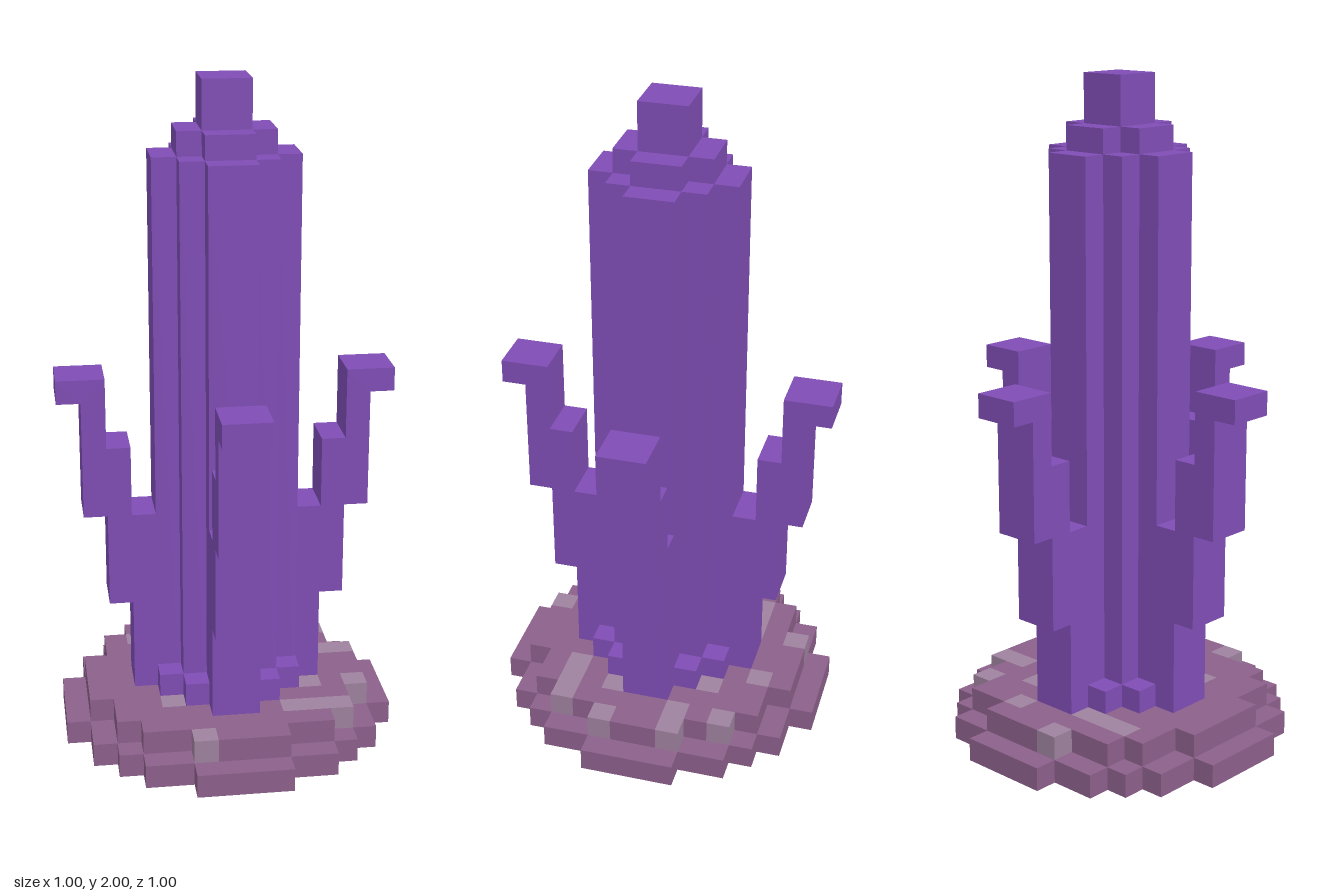
import * as THREE from 'three';

const U = 1 / 14; // one block

const crystalMat = new THREE.MeshStandardMaterial({ color: 0x7f4db5 });
crystalMat.name = 'crystal purple';
const rockMat = new THREE.MeshStandardMaterial({ color: 0x8c608b });
rockMat.name = 'mauve rock';
const paleMat = new THREE.MeshStandardMaterial({ color: 0x9e829e });
paleMat.name = 'pale rock';

// Box given by its min and max corners in blocks
function block(name, mat, x0, x1, y0, y1, z0, z1) {
  const geo = new THREE.BoxGeometry((x1 - x0) * U, (y1 - y0) * U, (z1 - z0) * U);
  const mesh = new THREE.Mesh(geo, mat);
  mesh.position.set((x0 + x1) / 2 * U, (y0 + y1) / 2 * U, (z0 + z1) / 2 * U);
  mesh.name = name;
  return mesh;
}

// Outline in blocks, extruded by a depth in blocks
function extrude(name, points, depth) {
  const shape = new THREE.Shape(points.map(([x, y]) => new THREE.Vector2(x * U, y * U)));
  const geo = new THREE.ExtrudeGeometry(shape, { depth: depth * U, bevelEnabled: false });
  const mesh = new THREE.Mesh(geo, crystalMat);
  mesh.name = name;
  return mesh;
}

// Upright prism whose quarter outline is repeated around the axis
function prism(name, quarter, y0, y1) {
  const points = [];
  for (let i = 0; i < 4; i++) {
    for (const [x, y] of quarter) points.push([[x, y], [-y, x], [-x, -y], [y, -x]][i]);
  }
  const mesh = extrude(name, points, y1 - y0);
  mesh.rotation.x = -Math.PI / 2;
  mesh.position.y = y0 * U;
  return mesh;
}

// Half widths of the round base for rows |z| = 0..6
const LAYERS = [[7, 7, 6, 6, 5, 4, 2], [6, 6, 5, 5, 4, 2]];

// Pale patches: x start, x end, z row
const PATCHES = [
  [-2, -1, -6], [1, 2, -5], [-4, -1, -4], [4, 5, -4], [2, 3, -3], [4, 6, -2],
  [3, 4, 1], [5, 6, 1], [-3, -2, 2], [2, 5, 3], [-2, -1, 5],
];

function cellMaterial(x, z) {
  const ax = Math.abs(x + 0.5), az = Math.abs(z + 0.5);
  if ((ax < 3 && az < 1) || (ax < 1 && az < 3) || (ax < 2 && az < 2)) return null; // trunk
  return PATCHES.some(([a, b, row]) => row === z && x >= a && x < b) ? paleMat : rockMat;
}

// Stepped base, each row built from runs of one colour
function createBase() {
  const base = new THREE.Group();
  base.name = 'base';
  LAYERS.forEach((widths, y) => {
    for (let z = -widths.length; z < widths.length; z++) {
      const w = widths[z < 0 ? -z - 1 : z];
      for (let x = -w; x < w;) {
        const mat = cellMaterial(x, z);
        const start = x;
        while (x < w && cellMaterial(x, z) === mat) x++;
        if (mat) base.add(block(mat === paleMat ? 'palePatch' : 'baseRow', mat, start, x, y, y + 1, z, z + 1));
      }
    }
  });
  return base;
}

export function createModel() {
  const model = new THREE.Group();
  model.name = 'crystalSpire';
  model.add(createBase());

  // Fluted trunk and stepped tip
  model.add(prism('trunk', [[3, -1], [3, 1], [2, 1], [2, 2], [1, 2], [1, 3]], 0, 25));
  model.add(prism('shoulder', [[2, -1], [2, 1], [1, 1], [1, 2]], 25, 26));
  model.add(block('tip', crystalMat, -1, 1, 26, 28, -1, 1));

  // Four stepped arms and the small blocks at their feet
  const armProfile = [
    [3, 2], [4, 2], [4, 6], [5, 6], [5, 10], [6, 10], [6, 15], [7, 15],
    [7, 16], [5, 16], [5, 13], [4, 13], [4, 10], [3, 10],
  ];
  for (let i = 0; i < 4; i++) {
    const side = new THREE.Group();
    side.name = 'side' + (i + 1);
    const arm = extrude('arm', armProfile, 2);
    arm.position.z = -U;
    side.add(arm);
    for (const z of [-2, 1]) side.add(block('footBlock', crystalMat, 2, 3, 2, 3, z, z + 1));
    side.rotation.y = i * Math.PI / 2;
    model.add(side);
  }
  return model;
}
